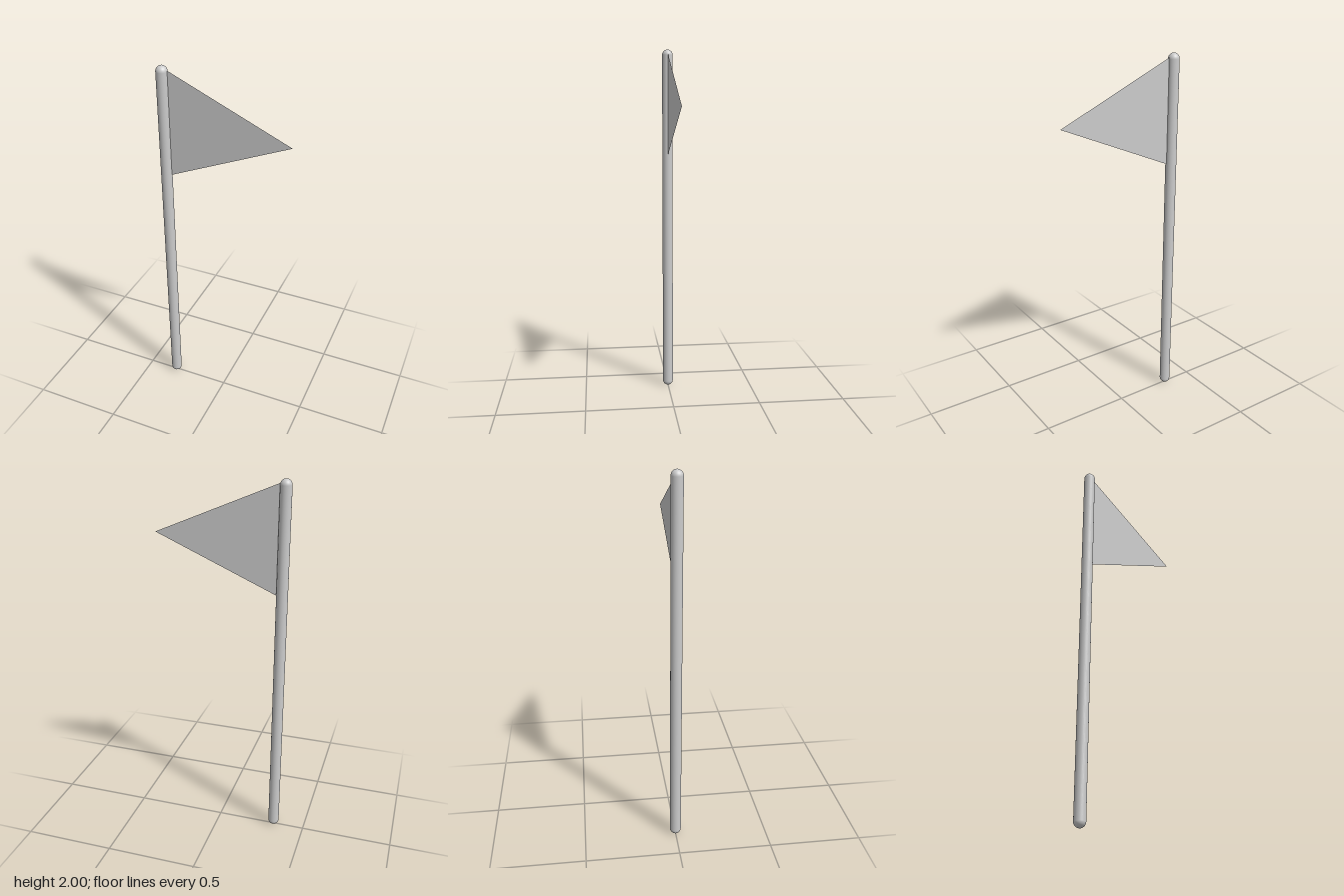
import * as THREE from 'three';

const POLE_X = -0.325, POLE_R = 0.03, HEIGHT = 2;

export function createModel() {
  const group = new THREE.Group();

  // Round-ended pole
  const pole = new THREE.Mesh(
    new THREE.CapsuleGeometry(POLE_R, HEIGHT - 2 * POLE_R, 12, 32),
    new THREE.MeshStandardMaterial({ color: 0xcccccc })
  );
  pole.name = 'pole';
  pole.position.set(POLE_X, HEIGHT / 2, 0);
  group.add(pole);

  // Thin triangular pennant, its hoist edge running along the pole axis
  const outline = new THREE.Shape([
    new THREE.Vector2(POLE_X, 1.4),
    new THREE.Vector2(0.355, 1.695),
    new THREE.Vector2(POLE_X, 1.99)
  ]);
  const pennant = new THREE.Mesh(
    new THREE.ShapeGeometry(outline),
    new THREE.MeshStandardMaterial({ color: 0xcccccc, side: THREE.DoubleSide })
  );
  pennant.name = 'pennant';
  group.add(pennant);

  return group;
}
